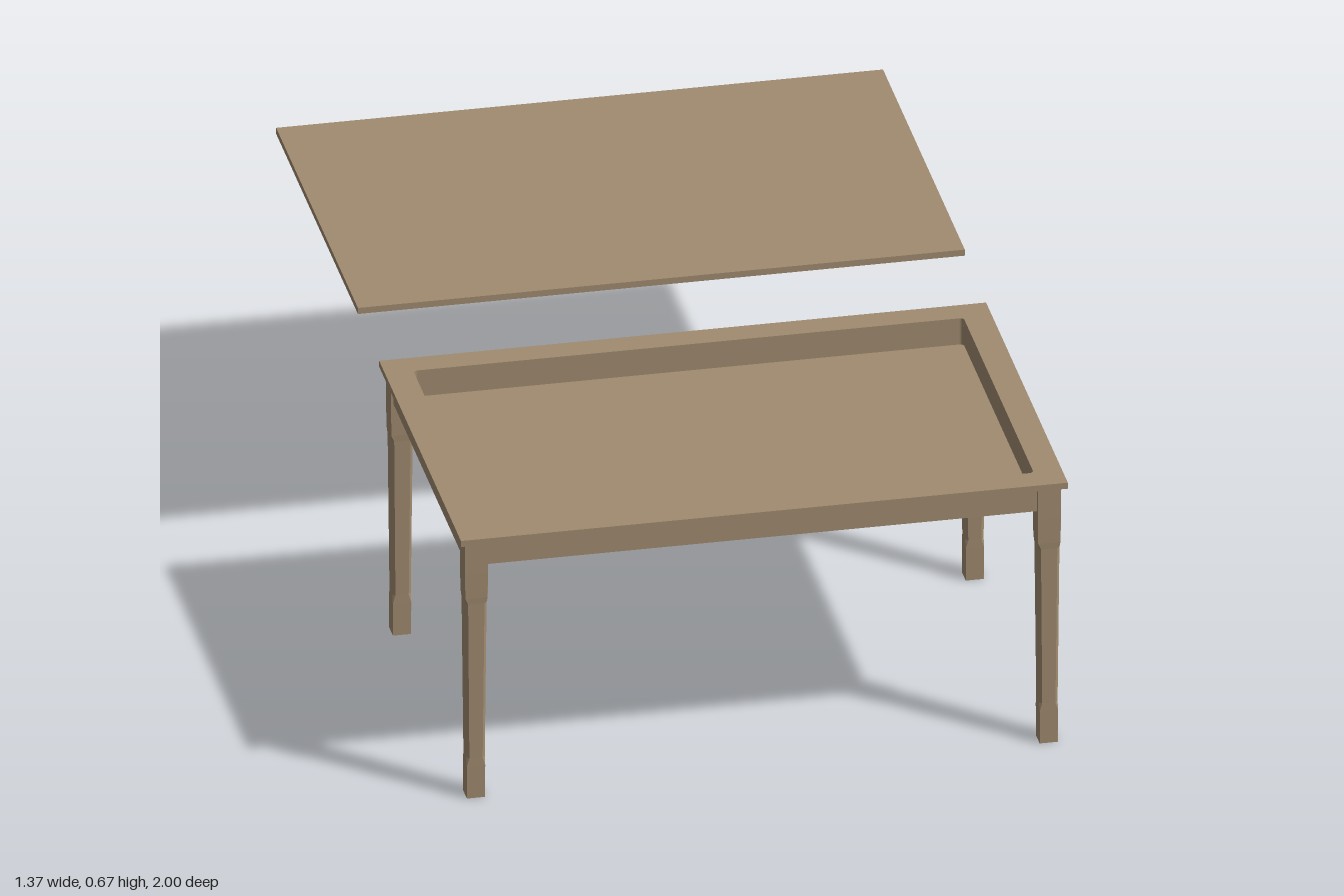
import * as THREE from 'three';

const wood = new THREE.MeshStandardMaterial({ color: 0xa08b6f });
wood.name = 'wood';

const TABLE_Z = 0.5575;           // centre of the table; the lid lies at -TABLE_Z
const OPEN_X = 0.622, OPEN_Z = 0.38; // half size of the tray opening

function add(parent, name, geometry, x, y, z) {
  const mesh = new THREE.Mesh(geometry, wood);
  mesh.name = name;
  mesh.position.set(x, y, z);
  parent.add(mesh);
  return mesh;
}

// Rectangle with rounded corners, traced into a shape or hole
function roundedRect(path, hx, hz, r) {
  path.moveTo(-hx + r, -hz);
  path.lineTo(hx - r, -hz);
  path.absarc(hx - r, -hz + r, r, -Math.PI / 2, 0);
  path.lineTo(hx, hz - r);
  path.absarc(hx - r, hz - r, r, 0, Math.PI / 2);
  path.lineTo(-hx + r, hz);
  path.absarc(-hx + r, hz - r, r, Math.PI / 2, Math.PI);
  path.lineTo(-hx, -hz + r);
  path.absarc(-hx + r, -hz + r, r, Math.PI, Math.PI * 1.5);
  return path;
}

// Flat rectangular ring around the tray opening, base at y = 0
function ring(hx, hz, height) {
  const shape = new THREE.Shape([[-hx, -hz], [hx, -hz], [hx, hz], [-hx, hz]].map(p => new THREE.Vector2(...p)));
  shape.holes.push(roundedRect(new THREE.Path(), OPEN_X, OPEN_Z, 0.01));
  return new THREE.ExtrudeGeometry(shape, { depth: height, bevelEnabled: false, curveSegments: 4 })
    .rotateX(-Math.PI / 2);
}

// Square leg whose tapered middle has chamfered corners
function legGeometry() {
  const rows = [ // height, half width, chamfer
    [0, 0.0205, 0.0005], [0.08, 0.021, 0.0005], [0.1, 0.021, 0.006],
    [0.485, 0.0245, 0.006], [0.5, 0.0255, 0.0005], [0.56, 0.0265, 0.0005], [0.64, 0.0265, 0.0005],
  ];
  const loops = rows.map(([y, h, c]) => {
    const k = h - c;
    return [[h, -k], [h, k], [k, h], [-k, h], [-h, k], [-h, -k], [-k, -h], [k, -h]].map(([x, z]) => [x, y, z]);
  });
  const pos = [];
  const tri = (a, b, c) => pos.push(...a, ...b, ...c);
  for (let i = 0; i < loops.length - 1; i++) {
    for (let j = 0; j < 8; j++) {
      const n = (j + 1) % 8, lo = loops[i], hi = loops[i + 1];
      tri(lo[j], hi[j], hi[n]);
      tri(lo[j], hi[n], lo[n]);
    }
  }
  const last = loops[loops.length - 1];
  for (let j = 1; j < 7; j++) { // end caps
    tri(loops[0][0], loops[0][j], loops[0][j + 1]);
    tri(last[0], last[j + 1], last[j]);
  }
  const g = new THREE.BufferGeometry();
  g.setAttribute('position', new THREE.Float32BufferAttribute(pos, 3));
  g.computeVertexNormals();
  return g;
}

export function createModel() {
  const model = new THREE.Group();
  model.name = 'trayTable';

  const table = new THREE.Group();
  table.name = 'table';
  table.position.z = TABLE_Z;
  model.add(table);

  // Rim, aprons and the sunken tray floor
  add(table, 'topFrame', ring(0.686, 0.4425, 0.015), 0, 0.64, 0);
  add(table, 'apron', ring(0.668, 0.421, 0.06), 0, 0.58, 0);
  add(table, 'trayFloor', new THREE.BoxGeometry(1.25, 0.01, 0.766), 0, 0.585, 0);

  // Four legs
  const leg = legGeometry();
  for (const sx of [-1, 1]) {
    for (const sz of [-1, 1]) {
      add(table, (sz > 0 ? 'front' : 'back') + (sx > 0 ? 'Left' : 'Right') + 'Leg', leg, sx * 0.6475, 0, sz * 0.4);
    }
  }

  // Removable lid, set behind the table
  add(model, 'lid', new THREE.BoxGeometry(1.372, 0.015, 0.885), 0, 0.6625, -TABLE_Z);
  return model;
}
